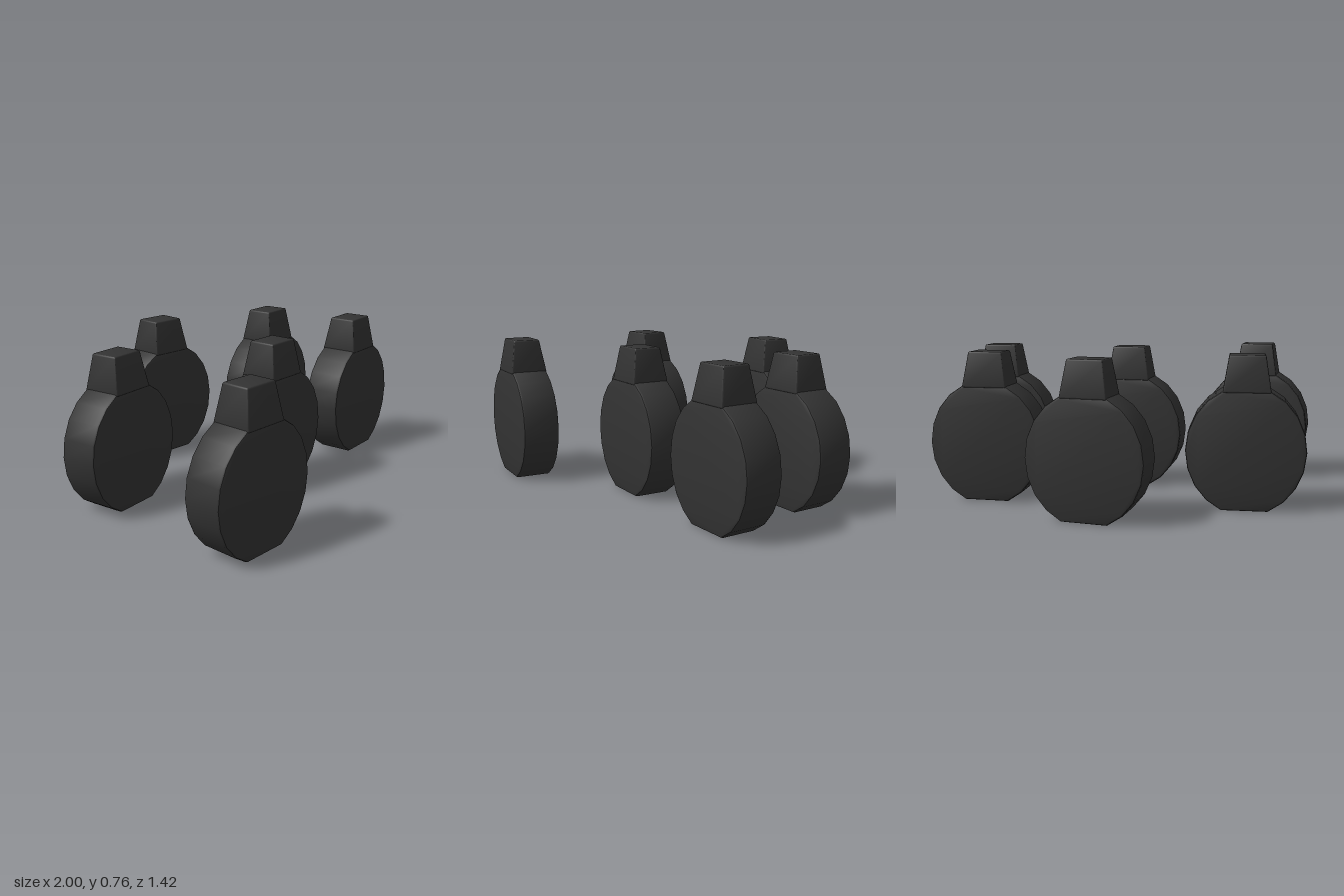
import * as THREE from 'three';
import { toCreasedNormals } from 'three/addons/utils/BufferGeometryUtils.js';
import { RoundedBoxGeometry } from 'three/addons/geometries/RoundedBoxGeometry.js';

const DEPTH = 0.196, MID = 0.294, BEVEL = 0.012;

// Round, flat-sided body with a flat foot and a flat shoulder
function bodyGeometry() {
  const points = [];
  for (const side of [0, Math.PI]) {
    for (let i = -4; i <= 4; i++) {
      const a = side + THREE.MathUtils.degToRad(i * 16.8);
      points.push(new THREE.Vector2(0.291 * Math.cos(a), MID + 0.319 * Math.sin(a)));
    }
  }
  const geometry = new THREE.ExtrudeGeometry(new THREE.Shape(points), {
    depth: DEPTH - 2 * BEVEL, bevelEnabled: true, bevelSize: BEVEL,
    bevelThickness: BEVEL, bevelOffset: -BEVEL, bevelSegments: 2,
  });
  geometry.translate(0, 0, BEVEL - DEPTH / 2);
  return toCreasedNormals(geometry, 0.5);
}

// Square neck that narrows towards the top
function neckGeometry() {
  const bottom = 0.578, top = 0.757;
  const geometry = new RoundedBoxGeometry(0.232, top - bottom, 0.2, 2, 0.008);
  geometry.translate(0, (top + bottom) / 2, 0);
  const p = geometry.attributes.position;
  for (let i = 0; i < p.count; i++) {
    const t = (p.getY(i) - bottom) / (top - bottom);
    p.setX(i, p.getX(i) * (1 - 0.25 * t));
    p.setZ(i, p.getZ(i) * (1 - 0.3 * t));
  }
  return toCreasedNormals(geometry, 0.5);
}

export function createModel() {
  const model = new THREE.Group();
  model.name = 'flasks';
  const material = new THREE.MeshStandardMaterial({ color: 0x333333 });
  const body = bodyGeometry(), neck = neckGeometry();

  // x, z and turn of each flask
  const places = [
    [-0.695, -0.208, 0.075],
    [-0.003, -0.588, -0.095],
    [0.6, -0.283, 0.025],
    [-0.037, 0.219, -0.025],
    [0.705, 0.219, 0.025],
    [-0.705, 0.59, -0.07],
  ];
  places.forEach(([x, z, turn], i) => {
    const flask = new THREE.Group();
    flask.name = `flask${i + 1}`;
    for (const [name, geometry] of [['body', body], ['neck', neck]]) {
      const mesh = new THREE.Mesh(geometry, material);
      mesh.name = name;
      flask.add(mesh);
    }
    flask.position.set(x, 0, z);
    flask.rotation.y = turn;
    model.add(flask);
  });
  return model;
}
